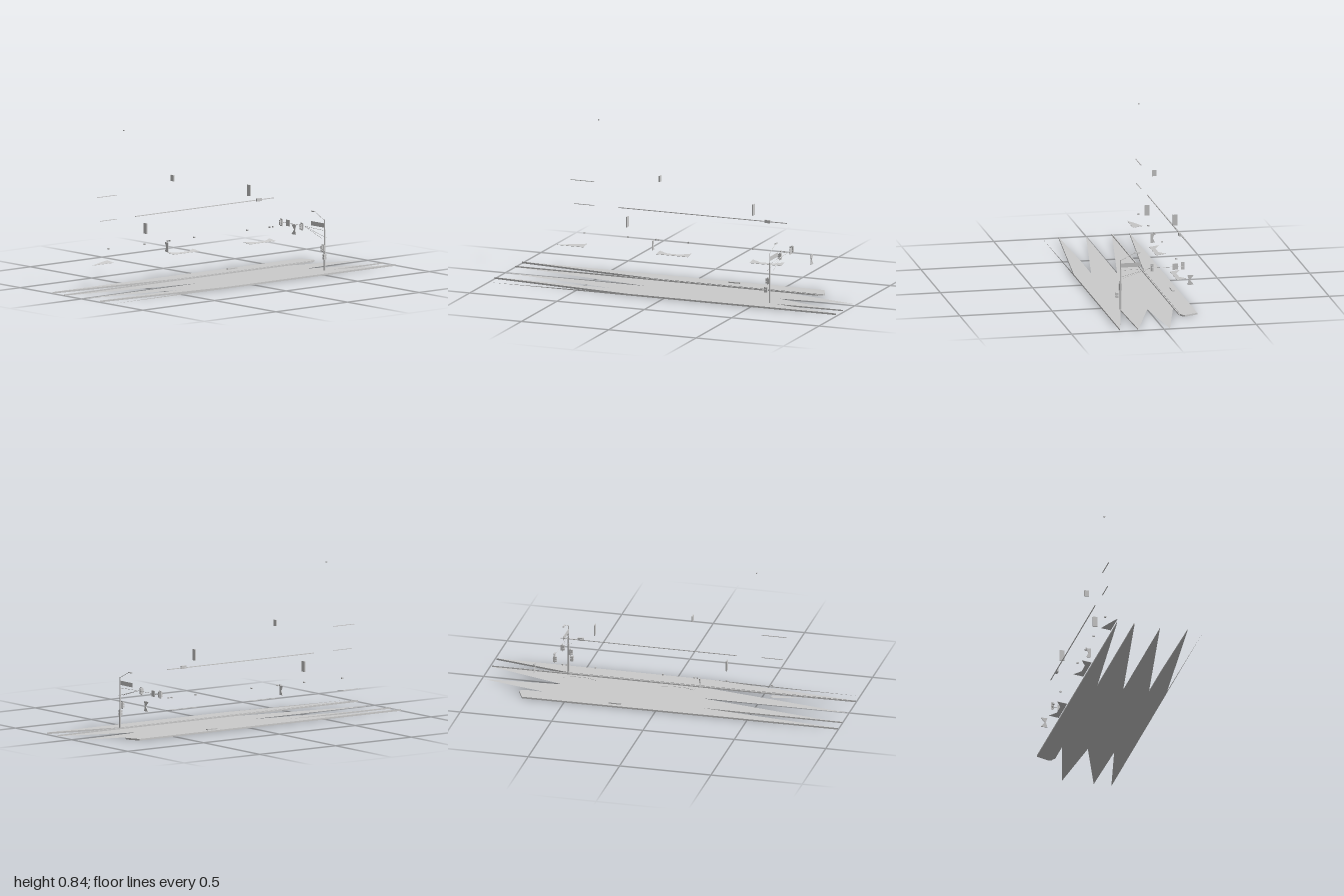
import * as THREE from 'three';

const mat = new THREE.MeshStandardMaterial({ color: 0xcccccc, flatShading: true, side: THREE.DoubleSide });

export function createModel() {
  const root = new THREE.Group();

  const add = (name, geo) => {
    const mesh = new THREE.Mesh(geo, mat);
    mesh.name = name;
    root.add(mesh);
    return mesh;
  };
  // box given by its min and max on each axis
  const box = (name, x0, x1, y0, y1, z0, z1) => {
    add(name, new THREE.BoxGeometry(x1 - x0, y1 - y0, z1 - z0))
      .position.set((x0 + x1) / 2, (y0 + y1) / 2, (z0 + z1) / 2);
  };
  // slab or flat sheet from a ground plan of [x, z] points
  const plan = (name, pts, y, h) => {
    const shape = new THREE.Shape(pts.map(([x, z]) => new THREE.Vector2(x, -z)));
    const geo = h ? new THREE.ExtrudeGeometry(shape, { depth: h, bevelEnabled: false }) : new THREE.ShapeGeometry(shape);
    add(name, geo.rotateX(-Math.PI / 2)).position.y = y;
  };
  // thin upright panel from [z, y] points at a given x
  const panel = (name, pts, x) => {
    const shape = new THREE.Shape(pts.map(([z, y]) => new THREE.Vector2(-z, y)));
    const geo = new THREE.ExtrudeGeometry(shape, { depth: 0.004, bevelEnabled: false });
    add(name, geo.rotateY(Math.PI / 2)).position.x = x - 0.002;
  };
  // straight rod between two points
  const rod = (name, a, b, r0, r1 = r0) => {
    const p = new THREE.Vector3(...a), q = new THREE.Vector3(...b);
    const dir = q.clone().sub(p);
    const mesh = add(name, new THREE.CylinderGeometry(r1, r0, dir.length(), 8));
    mesh.position.copy(p).add(q).multiplyScalar(0.5);
    mesh.quaternion.setFromUnitVectors(new THREE.Vector3(0, 1, 0), dir.normalize());
  };

  // road with pointed ends
  plan('road', [[-1, -0.14], [0.57, -0.14], [0.99, -0.035], [0.57, 0], [0.99, 0.138], [0.57, 0.14],
    [-0.2, 0.14], [-1, 0], [-0.2, 0]], 0, 0);

  // pavements and kerbs
  plan('backPavement', [[-1, -0.235], [0.73, -0.238], [0.763, -0.165], [0.757, -0.152], [0.735, -0.144],
    [-0.2, -0.144]], 0, 0.009);
  plan('frontPavement', [[-1, 0.15], [0.57, 0.145], [0.99, 0.235], [-0.2, 0.235]], 0, 0.009);
  plan('backKerb', [[-1, -0.144], [0.735, -0.144], [0.735, -0.138], [-1, -0.138]], 0, 0.007);
  plan('frontKerb', [[-0.45, 0.14], [0.99, 0.138], [0.57, 0.146], [-1, 0.15]], 0, 0.007);
  const edge = new THREE.ShapeGeometry(new THREE.Shape([[-1, 0], [-0.2, 0], [-0.2, 0.009]]
    .map(([x, y]) => new THREE.Vector2(x, y))));
  add('frontPavementEdge', edge).position.z = 0.235;
  box('doorStep', 0.195, 0.262, 0.009, 0.015, -0.213, -0.2);

  // traffic pole with arm, braces and street lamp
  const px = 0.573, pz = 0.145;
  rod('poleLower', [px, 0, pz], [px, 0.228, pz], 0.005, 0.004);
  rod('poleUpper', [px, 0.228, pz], [px, 0.28, pz], 0.002);
  rod('mastArm', [px, 0.221, pz], [px, 0.226, -0.02], 0.001);
  rod('mastArm', [px, 0.226, -0.02], [px, 0.226, -0.195], 0.0012);
  for (const s of [-1, 1]) rod('armBrace', [px + s * 0.016, 0.181, 0.14], [px, 0.226, -0.02], 0.001);
  rod('lampArm', [px, 0.276, pz], [px, 0.313, 0.068], 0.0013);
  box('lampHead', px - 0.004, px + 0.004, 0.311, 0.316, 0.038, 0.068);
  box('streetSign', px - 0.001, px + 0.001, 0.237, 0.26, 0.035, 0.142);
  box('armSign', px - 0.002, px + 0.002, 0.21, 0.243, -0.165, -0.137);

  // signal heads: backplate, housing, three visors
  for (const [y, z] of [[0.224, -0.028], [0.226, -0.195], [0.128, 0.144]]) {
    box('signalBackplate', 0.56, 0.562, y - 0.02, y + 0.02, z - 0.009, z + 0.009);
    box('signalHousing', 0.56, 0.57, y - 0.016, y + 0.016, z - 0.006, z + 0.006);
    for (const dy of [-0.01, 0, 0.01]) box('signalVisor', 0.549, 0.56, y + dy - 0.004, y + dy + 0.004, z - 0.004, z + 0.004);
  }
  for (const y of [0.07, 0.085]) box('walkSignal', 0.55, 0.566, y, y + 0.013, 0.154, 0.168);

  // projecting shop signs
  for (const [x, y0, y1] of [[-0.195, 0.525, 0.558], [0.34, 0.39, 0.45], [-0.382, 0.262, 0.319]]) {
    box('shopSign', x - 0.003, x + 0.003, y0, y1, -0.212, -0.187);
  }
  panel('shopSign', [[-0.187, 0.15], [-0.212, 0.15], [-0.2, 0.175], [-0.212, 0.201], [-0.187, 0.201]], -0.235);
  panel('notchedSign', [[-0.197, 0.201], [-0.232, 0.201], [-0.211, 0.175], [-0.232, 0.148], [-0.197, 0.148],
    [-0.205, 0.175]], 0.667);

  // sloping awnings, higher at the wall, with a notch in the back edge
  const awning = (pts) => {
    plan('awning', pts, 0.133, 0.0015);
    const pos = root.children.at(-1).geometry.attributes.position;
    for (let i = 0; i < pos.count; i++) pos.setY(i, pos.getY(i) + (-0.172 - pos.getZ(i)) * 0.13);
  };
  for (const [a, b] of [[-0.208, -0.027], [0.325, 0.507]]) {
    const w = b - a;
    awning([[a, -0.175], [a, -0.228], [a + w * 0.3, -0.198], [a + w * 0.7, -0.198], [b, -0.228], [b, -0.175]]);
  }
  awning([[-0.775, -0.175], [-0.695, -0.205], [-0.625, -0.228], [-0.625, -0.175]]);

  // cornice lines and small wall fittings
  box('cornice', -0.44, 0.525, 0.357, 0.361, -0.216, -0.212);
  box('corniceBracket', 0.4, 0.432, 0.353, 0.369, -0.212, -0.202);
  box('upperCornice', -0.71, -0.575, 0.487, 0.49, -0.21, -0.206);
  box('lowerCornice', -0.69, -0.575, 0.358, 0.361, -0.21, -0.206);
  for (const x of [-0.632, -0.382, -0.222, -0.206, -0.035, 0.335, 0.493, 0.515]) {
    box('wallLamp', x - 0.004, x + 0.004, 0.202, 0.209, -0.212, -0.202);
  }
  box('roofLamp', -0.545, -0.539, 0.831, 0.837, -0.193, -0.185);

  return root;
}
